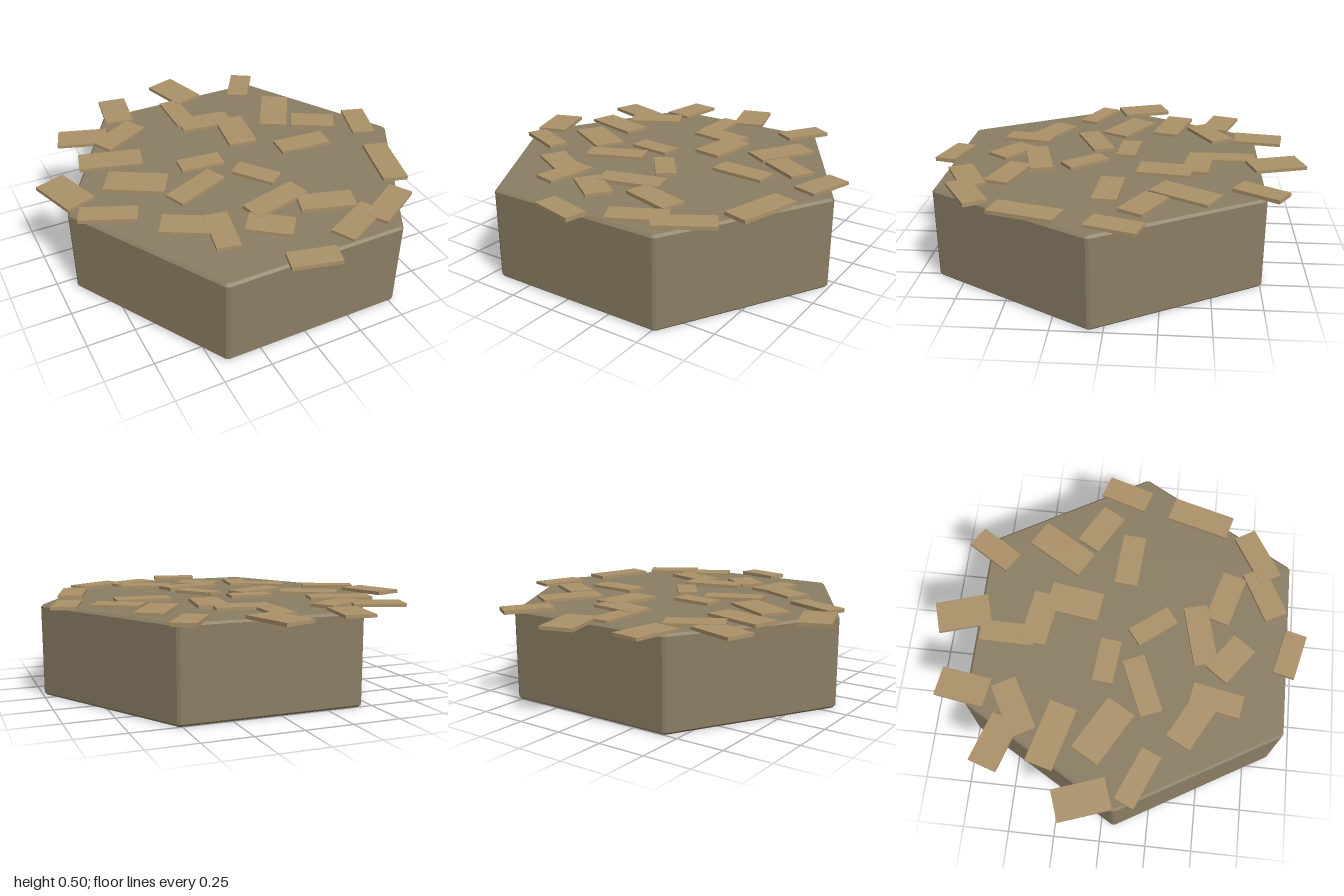
import * as THREE from 'three';

const TOP = 0.48; // height of the hexagonal block

// Loose planks: [x, z, length, width, degrees from +x towards +z]
const PLANKS = [
  [-0.35, -0.777, 0.265, 0.157, 99],
  [0.058, -0.84, 0.284, 0.172, 73.5],
  [0.452, -0.731, 0.258, 0.124, 122.4],
  [-0.622, -0.57, 0.27, 0.153, 18.4],
  [-0.43, -0.5, 0.295, 0.135, -29],
  [-0.027, -0.59, 0.29, 0.115, 91],
  [0.074, -0.43, 0.29, 0.14, 9],
  [0.187, -0.255, 0.285, 0.16, 98.5],
  [0.497, -0.362, 0.33, 0.155, 121],
  [0.64, -0.163, 0.25, 0.137, 30],
  [0.878, -0.041, 0.257, 0.128, 108],
  [0.465, 0.017, 0.293, 0.125, 4.5],
  [0.766, 0.383, 0.34, 0.133, 105.7],
  [-0.557, -0.287, 0.338, 0.148, 15.3],
  [-0.867, -0.096, 0.277, 0.165, 71],
  [-0.508, -0.027, 0.32, 0.165, 30],
  [-0.13, -0.048, 0.237, 0.11, 5.5],
  [-0.731, 0.173, 0.295, 0.11, 23.3],
  [-0.247, 0.149, 0.317, 0.12, -22.7],
  [0.09, 0.176, 0.243, 0.107, 52.5],
  [-0.415, 0.42, 0.265, 0.14, 29],
  [-0.287, 0.537, 0.268, 0.122, 101],
  [0.064, 0.431, 0.33, 0.126, -14],
  [-0.053, 0.596, 0.235, 0.14, 36.5],
  [0.29, 0.553, 0.285, 0.13, 17],
  [0.34, 0.76, 0.29, 0.128, -27],
  [0.559, 0.71, 0.3, 0.124, -31],
  [0.005, 0.905, 0.248, 0.113, 14],
];

// Hexagon outline with slightly trimmed corners
function hexagonShape(radius, trim) {
  const corner = (i) =>
    new THREE.Vector2(Math.cos((i * Math.PI) / 3), Math.sin((i * Math.PI) / 3)).multiplyScalar(radius);
  const points = [];
  for (let i = 0; i < 6; i++) {
    const c = corner(i);
    points.push(c.clone().lerp(corner(i - 1), trim / radius));
    points.push(c.clone().lerp(corner(i + 1), trim / radius));
  }
  return new THREE.Shape(points);
}

export function createModel() {
  const model = new THREE.Group();
  model.name = 'hexagonalPlankTile';

  const earth = new THREE.MeshStandardMaterial({ color: 0x8b7d64 });
  earth.name = 'earth brown';
  const wood = new THREE.MeshStandardMaterial({ color: 0xab9169 });
  wood.name = 'light wood';

  // Hexagonal block with a small chamfer on every edge
  const bevel = 0.012;
  const blockGeometry = new THREE.ExtrudeGeometry(hexagonShape(0.952, 0.01), {
    depth: TOP - 2 * bevel,
    bevelThickness: bevel,
    bevelSize: bevel,
    bevelOffset: -bevel,
    bevelSegments: 1,
  });
  blockGeometry.rotateX(-Math.PI / 2);
  const block = new THREE.Mesh(blockGeometry, earth);
  block.name = 'hexagonalBlock';
  block.position.set(0.043, bevel, 0.067);
  model.add(block);

  // Planks scattered over the top, some hanging past the edge
  const planks = new THREE.Group();
  planks.name = 'planks';
  PLANKS.forEach(([x, z, length, width, degrees], i) => {
    const thickness = 0.016 + 0.002 * ((i * 2) % 5) / 2 + 0.00005 * i; // tiny steps keep overlaps apart
    const plank = new THREE.Mesh(new THREE.BoxGeometry(length, thickness, width), wood);
    plank.name = `plank${i + 1}`;
    plank.position.set(x, TOP - 0.002 + thickness / 2, z);
    plank.rotation.y = -THREE.MathUtils.degToRad(degrees);
    planks.add(plank);
  });
  model.add(planks);

  return model;
}
